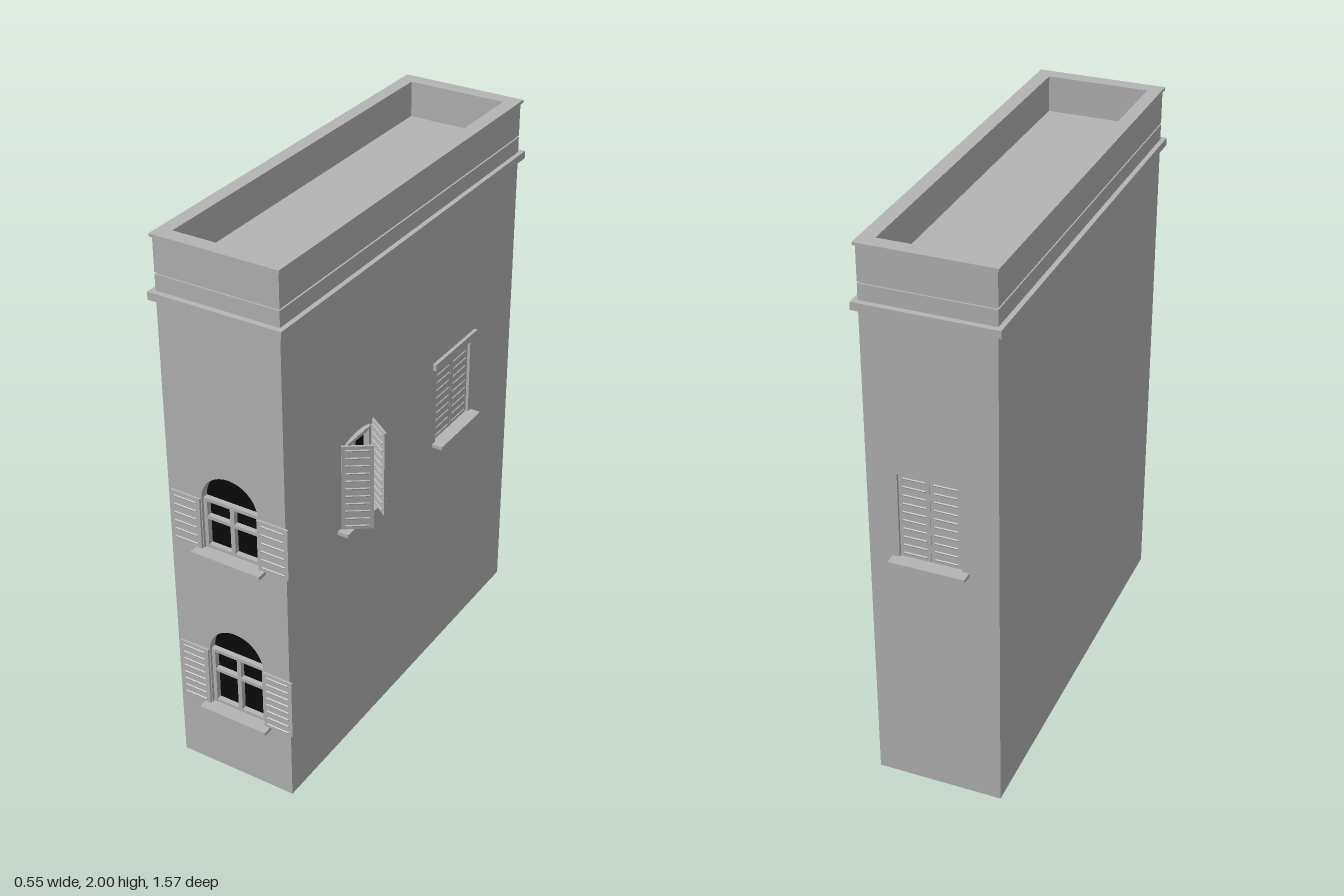
import * as THREE from 'three';

const stone = new THREE.MeshStandardMaterial({ color: 0xb4b4b4 });
stone.name = 'grey stone';
const dark = new THREE.MeshStandardMaterial({ color: 0x0a0a0a });
dark.name = 'dark glass';

const X0 = -0.262, X1 = 0.185, Z = 0.745, T = 0.04, CX = (X0 + X1) / 2;

function add(parent, name, geo, mat = stone) {
  const m = new THREE.Mesh(geo, mat);
  m.name = name;
  parent.add(m);
  return m;
}

// Box given by its limits on each axis
function box(parent, name, x0, x1, y0, y1, z0, z1, mat) {
  const m = add(parent, name, new THREE.BoxGeometry(x1 - x0, y1 - y0, z1 - z0), mat);
  m.position.set((x0 + x1) / 2, (y0 + y1) / 2, (z0 + z1) / 2);
  return m;
}

function rect(C, x0, x1, y0, y1) {
  const s = new C();
  s.moveTo(x0, y0); s.lineTo(x1, y0); s.lineTo(x1, y1); s.lineTo(x0, y1); s.closePath();
  return s;
}

// Opening with straight sides and an elliptical arch of the given rise
function opening(C, { u, w, y0, y1, rise }) {
  if (!rise) return rect(C, u - w / 2, u + w / 2, y0, y1);
  const s = new C();
  s.moveTo(u - w / 2, y0);
  s.lineTo(u + w / 2, y0);
  s.lineTo(u + w / 2, y1);
  s.absellipse(u, y1, w / 2, rise, 0, Math.PI, false, 0);
  s.closePath();
  return s;
}

// Wall in its own frame: outer face at z = 0, facing +z
function wall(parent, name, u0, u1, windows) {
  const s = rect(THREE.Shape, u0, u1, 0, 1.865);
  windows.forEach(o => s.holes.push(opening(THREE.Path, o)));
  const g = new THREE.ExtrudeGeometry(s, { depth: T, bevelEnabled: false, curveSegments: 20 });
  add(parent, name, g.translate(0, 0, -T));
}

// Shutter leaf starting at x = 0, with tilted louvres on its face
function shutter(parent, w, h) {
  const g = new THREE.Group();
  g.name = 'shutter';
  box(g, 'shutterPanel', 0, w, 0, h, 0, 0.008);
  const n = Math.round(h / 0.03);
  for (let i = 0; i < n; i++) {
    const slat = box(g, 'louvre', w * 0.12, w * 0.88, 0, 0.004, 0, 0.009);
    slat.position.y = (i + 0.5) * h / n;
    slat.position.z = 0.007;
    slat.rotation.x = 0.5;
  }
  parent.add(g);
  return g;
}

function sill(parent, u, w, y) {
  box(parent, 'sill', u - w / 2, u + w / 2, y - 0.013, y, -0.02, 0.04);
}

// Dark pane with a frame, a mullion and crossbars
function glazing(parent, o, bars) {
  const pane = add(parent, 'glass', new THREE.ShapeGeometry(opening(THREE.Shape, o), 20), dark);
  pane.position.z = -0.03;
  const a = o.u - o.w / 2, b = o.u + o.w / 2, t = 0.013;
  box(parent, 'frameSide', a, a + t, o.y0, o.y1, -0.03, -0.01);
  box(parent, 'frameSide', b - t, b, o.y0, o.y1, -0.03, -0.01);
  box(parent, 'mullion', o.u - 0.008, o.u + 0.008, o.y0, o.y1, -0.03, -0.012);
  [o.y0 + t / 2, ...bars].forEach(y =>
    box(parent, 'crossbar', a + t, b - t, y - 0.006, y + 0.006, -0.03, -0.011));
}

// Closed pair of shutters set into a shallow recess
function closedShutters(parent, o) {
  [-1, 0].forEach(k => {
    const s = shutter(parent, o.w / 2 - 0.001, o.y1 - o.y0);
    s.position.set(o.u + k * o.w / 2, o.y0, -0.018);
  });
}

function side(root, name, x, z, angle) {
  const g = new THREE.Group();
  g.name = name;
  g.position.set(x, 0, z);
  g.rotation.y = angle;
  root.add(g);
  return g;
}

// Horizontal ring with a rectangular hole
function ring(parent, name, x0, x1, z, y0, y1) {
  const s = rect(THREE.Shape, x0, x1, -z, z);
  s.holes.push(rect(THREE.Path, -0.22, 0.14, -0.7, 0.7));
  const g = new THREE.ExtrudeGeometry(s, { depth: y1 - y0, bevelEnabled: false });
  add(parent, name, g.rotateX(-Math.PI / 2).translate(0, y0, 0));
}

export function createModel() {
  const root = new THREE.Group();
  root.name = 'building';

  // Front: two arched windows with shutters folded flat on the wall
  const front = side(root, 'front', 0, Z, 0);
  const arched = [
    { u: -0.026, w: 0.215, y0: 0.912, y1: 1.103, rise: 0.105 },
    { u: -0.026, w: 0.215, y0: 0.265, y1: 0.493, rise: 0.107 },
  ];
  wall(front, 'frontWall', X0, X1, arched);
  arched.forEach(o => {
    glazing(front, o, [o.y0 + (o.y1 - o.y0) * 0.62, o.y1 - 0.006]);
    sill(front, o.u, 0.265, o.y0);
    [-0.25, 0.084].forEach(x => shutter(front, 0.113, o.y1 - o.y0).position.set(x, o.y0, 0));
  });

  // Right: a window with half-open shutters and a closed one under a lintel
  const right = side(root, 'rightSide', X1, 0, Math.PI / 2);
  const open = { u: -0.32, w: 0.2, y0: 0.912, y1: 1.2, rise: 0.034 };
  const shut = { u: 0.32, w: 0.24, y0: 0.912, y1: 1.216, rise: 0 };
  wall(right, 'rightWall', -Z + T, Z - T, [open, shut]);
  glazing(right, open, [1.103, 1.194]);
  sill(right, open.u, 0.248, open.y0);
  [-1, 1].forEach(k => {
    const hinge = new THREE.Group();
    hinge.name = 'openShutter';
    hinge.position.set(open.u + k * 0.1, open.y0, 0);
    hinge.rotation.y = k < 0 ? -0.96 : Math.PI + 0.96;
    shutter(hinge, 0.105, 0.32);
    right.add(hinge);
  });
  closedShutters(right, shut);
  sill(right, shut.u, 0.28, shut.y0);
  box(right, 'lintel', shut.u - 0.147, shut.u + 0.147, 1.214, 1.24, -0.02, 0.013);

  // Back: one closed window
  const back = side(root, 'back', 0, -Z, Math.PI);
  const rear = { u: 0.027, w: 0.215, y0: 0.912, y1: 1.225, rise: 0 };
  wall(back, 'backWall', -X1, -X0, [rear]);
  closedShutters(back, rear);
  sill(back, rear.u, 0.265, rear.y0);

  // Left: plain wall
  wall(side(root, 'leftSide', X0, 0, -Math.PI / 2), 'leftWall', -Z + T, Z - T, []);

  // Floor, cornice, roof and parapet
  box(root, 'base', X0 + T, X1 - T, 0, 0.03, -Z + T, Z - T);
  box(root, 'cornice', X0 - 0.017, X1 + 0.017, 1.783, 1.81, -Z - 0.02, Z + 0.02);
  box(root, 'roof', X0 + 0.006, X1 - 0.006, 1.82, 1.872, -Z + 0.006, Z - 0.006);
  ring(root, 'parapet', X0, X1, Z, 1.871, 1.99);
  ring(root, 'parapetCap', CX - 0.23, CX + 0.23, Z + 0.008, 1.99, 2);
  return root;
}
